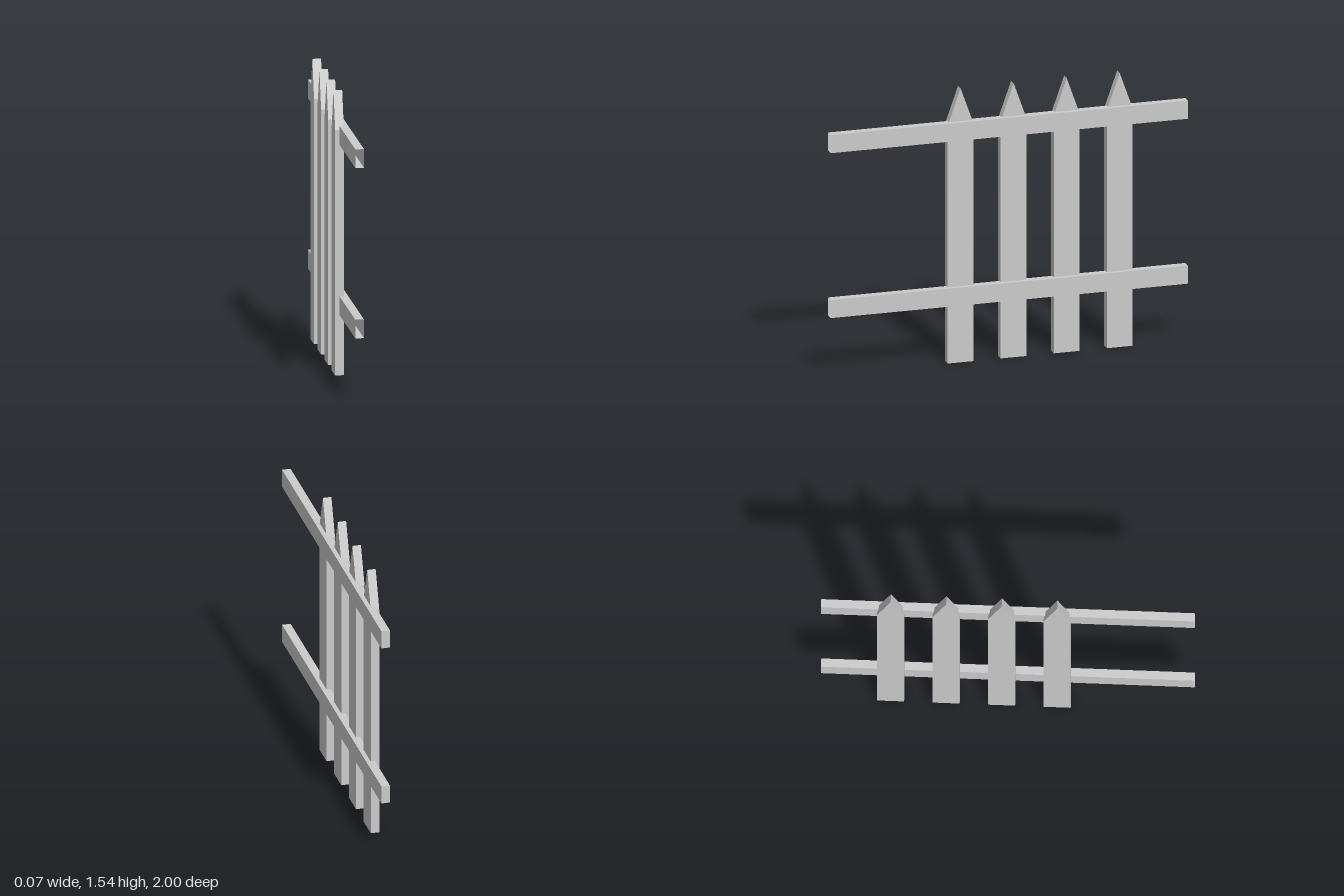
import * as THREE from 'three';

const material = new THREE.MeshStandardMaterial({
  color: 0xcccccc, flatShading: true, side: THREE.DoubleSide,
});

// Drop the triangles that face the given direction, leaving that side open.
function openSide(source, dir) {
  const geo = source.index ? source.toNonIndexed() : source;
  const p = geo.attributes.position;
  const kept = [];
  const tri = new THREE.Triangle();
  const n = new THREE.Vector3();
  for (let i = 0; i < p.count; i += 3) {
    tri.setFromAttributeAndIndices(p, i, i + 1, i + 2);
    if (tri.getNormal(n).dot(dir) > 0.9) continue;
    for (const v of [tri.a, tri.b, tri.c]) kept.push(v.x, v.y, v.z);
  }
  const out = new THREE.BufferGeometry();
  out.setAttribute('position', new THREE.Float32BufferAttribute(kept, 3));
  out.computeVertexNormals();
  return out;
}

// Pointed board, extruded along x, hollow at the foot
function picketGeometry(halfWidth, shoulder, tip, thickness) {
  const outline = new THREE.Shape([
    new THREE.Vector2(-halfWidth, 0),
    new THREE.Vector2(halfWidth, 0),
    new THREE.Vector2(halfWidth, shoulder),
    new THREE.Vector2(0, tip),
    new THREE.Vector2(-halfWidth, shoulder),
  ]);
  const geo = new THREE.ExtrudeGeometry(outline, { depth: thickness, bevelEnabled: false });
  geo.rotateY(Math.PI / 2);
  return openSide(geo, new THREE.Vector3(0, -1, 0));
}

export function createModel() {
  const fence = new THREE.Group();
  fence.name = 'picketFence';

  // Four evenly spaced pickets
  const picketGeo = picketGeometry(0.0725, 1.335, 1.54, 0.047);
  for (let i = 0; i < 4; i++) {
    const picket = new THREE.Mesh(picketGeo, material);
    picket.name = `picket${i + 1}`;
    picket.position.set(-0.036, 0, 0.265 - i * 0.297);
    fence.add(picket);
  }

  // Two long rails, hollow at the +z end
  const railGeo = openSide(new THREE.BoxGeometry(0.047, 0.102, 2), new THREE.Vector3(0, 0, 1));
  for (const [name, y] of [['lowerRail', 0.378], ['upperRail', 1.305]]) {
    const rail = new THREE.Mesh(railGeo, material);
    rail.name = name;
    rail.position.set(0.0115, y, 0);
    fence.add(rail);
  }

  return fence;
}
